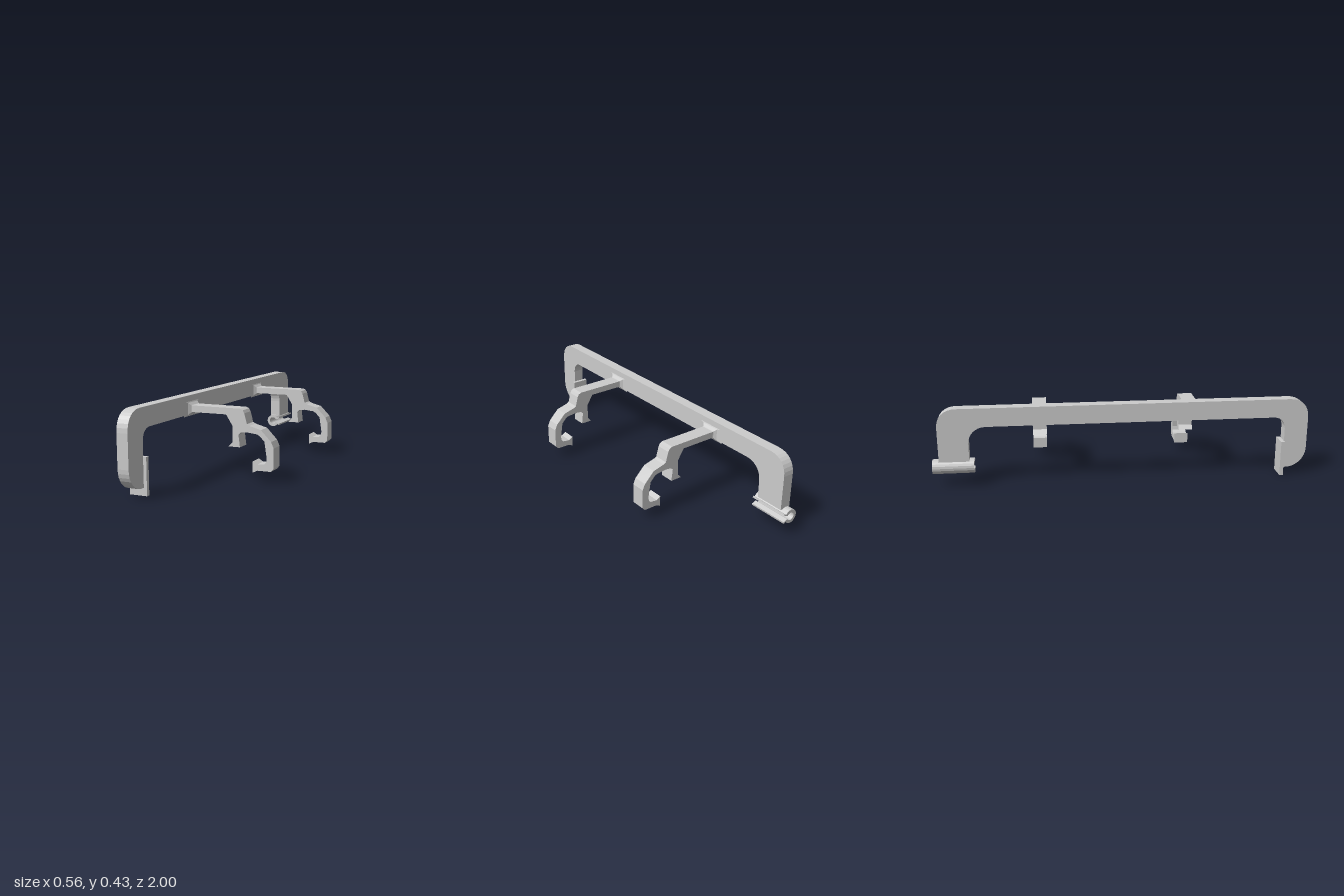
import * as THREE from 'three';

const material = new THREE.MeshStandardMaterial({ color: 0xcccccc, flatShading: true });

function part(name, geometry) {
  const mesh = new THREE.Mesh(geometry, material);
  mesh.name = name;
  return mesh;
}

const extrude = (shape, depth) =>
  new THREE.ExtrudeGeometry(shape, { depth, bevelEnabled: false, curveSegments: 8 });

// Handle frame, drawn in (z, y) and extruded across its thickness
function createFrame() {
  const s = new THREE.Shape();
  s.moveTo(0.875, 0.04);
  s.lineTo(0.9, 0.04);
  s.bezierCurveTo(0.955, 0.045, 1, 0.09, 1, 0.15);
  s.lineTo(1, 0.32);
  s.bezierCurveTo(1, 0.385, 0.96, 0.425, 0.895, 0.425);
  s.lineTo(-0.865, 0.425);
  s.bezierCurveTo(-0.925, 0.425, -0.965, 0.385, -0.965, 0.325);
  s.lineTo(-0.965, 0.138);
  s.lineTo(-0.808, 0.138);
  s.lineTo(-0.808, 0.235);
  s.bezierCurveTo(-0.808, 0.285, -0.77, 0.325, -0.715, 0.325);
  s.lineTo(0.81, 0.325);
  s.bezierCurveTo(0.85, 0.325, 0.875, 0.3, 0.875, 0.26);
  s.closePath();
  const frame = part('frame', extrude(s, 0.06));
  frame.rotation.y = -Math.PI / 2;
  frame.position.x = -0.2;
  return frame;
}

// Arm with an open hook, drawn in (x, y)
const armProfile = [
  [-0.21, 0.34], [0.015, 0.34], [0.05, 0.285], [0.05, 0.2], [0.028, 0.176],
  [0.092, 0.176], [0.084, 0.24], [0.097, 0.252], [0.13, 0.256], [0.185, 0.25],
  [0.2, 0.243], [0.227, 0.215], [0.24, 0.13], [0.236, 0.108], [0.225, 0.098],
  [0.187, 0.095], [0.163, 0.11], [0.163, 0.052], [0.19, 0.064], [0.262, 0.064],
  [0.277, 0.08], [0.277, 0.185], [0.263, 0.217], [0.208, 0.273], [0.145, 0.29],
  [0.131, 0.298], [0.117, 0.352], [0.108, 0.367], [0.093, 0.374], [-0.21, 0.375],
];

// Flared foot where an arm meets the frame: wide at the frame, shrinking to the arm
function createFoot() {
  const sections = [
    [-0.202, 0.04, 0.085], [-0.197, 0.031, 0.052], [-0.184, 0.019, 0.04], [-0.178, 0.017, 0.038],
  ];
  const geometry = new THREE.BoxGeometry(3, 2, 2, 3, 1, 1);
  const p = geometry.attributes.position;
  for (let i = 0; i < p.count; i++) {
    const [x, halfY, halfZ] = sections[Math.round(p.getX(i) + 1.5)];
    p.setXYZ(i, x, 0.357 + p.getY(i) * halfY, p.getZ(i) * halfZ);
  }
  geometry.computeVertexNormals();
  return part('armFoot', geometry);
}

function createArm(name, z) {
  const arm = new THREE.Group();
  arm.name = name;
  const shape = new THREE.Shape(armProfile.map(([x, y]) => new THREE.Vector2(x, y)));
  const hook = part('hook', extrude(shape, 0.078));
  hook.position.z = -0.039;
  arm.add(hook, createFoot());
  arm.position.z = z;
  return arm;
}

// C-shaped clip along z, open towards +x with flared lips
function createClip() {
  const s = new THREE.Shape();
  const gap = 0.55;
  s.absarc(0, 0, 0.038, gap, Math.PI * 2 - gap, false);
  s.lineTo(0.044, -0.028);
  s.lineTo(0.046, -0.018);
  s.lineTo(0.022, -0.009);
  s.absarc(0, 0, 0.022, Math.PI * 2 - gap, gap, true);
  s.lineTo(0.022, 0.009);
  s.lineTo(0.046, 0.018);
  s.lineTo(0.044, 0.028);
  s.closePath();
  const clip = part('clip', extrude(s, 0.217));
  clip.position.set(-0.236, 0.107, -1);
  return clip;
}

export function createModel() {
  const model = new THREE.Group();
  model.name = 'clipOnHandle';

  // Flat pad on the inside of the front leg
  const pad = part('pad', new THREE.BoxGeometry(0.095, 0.19, 0.02));
  pad.position.set(-0.2305, 0.095, 0.866);

  model.add(
    createFrame(), pad, createClip(),
    createArm('frontArm', 0.39), createArm('backArm', -0.437),
  );
  return model;
}
